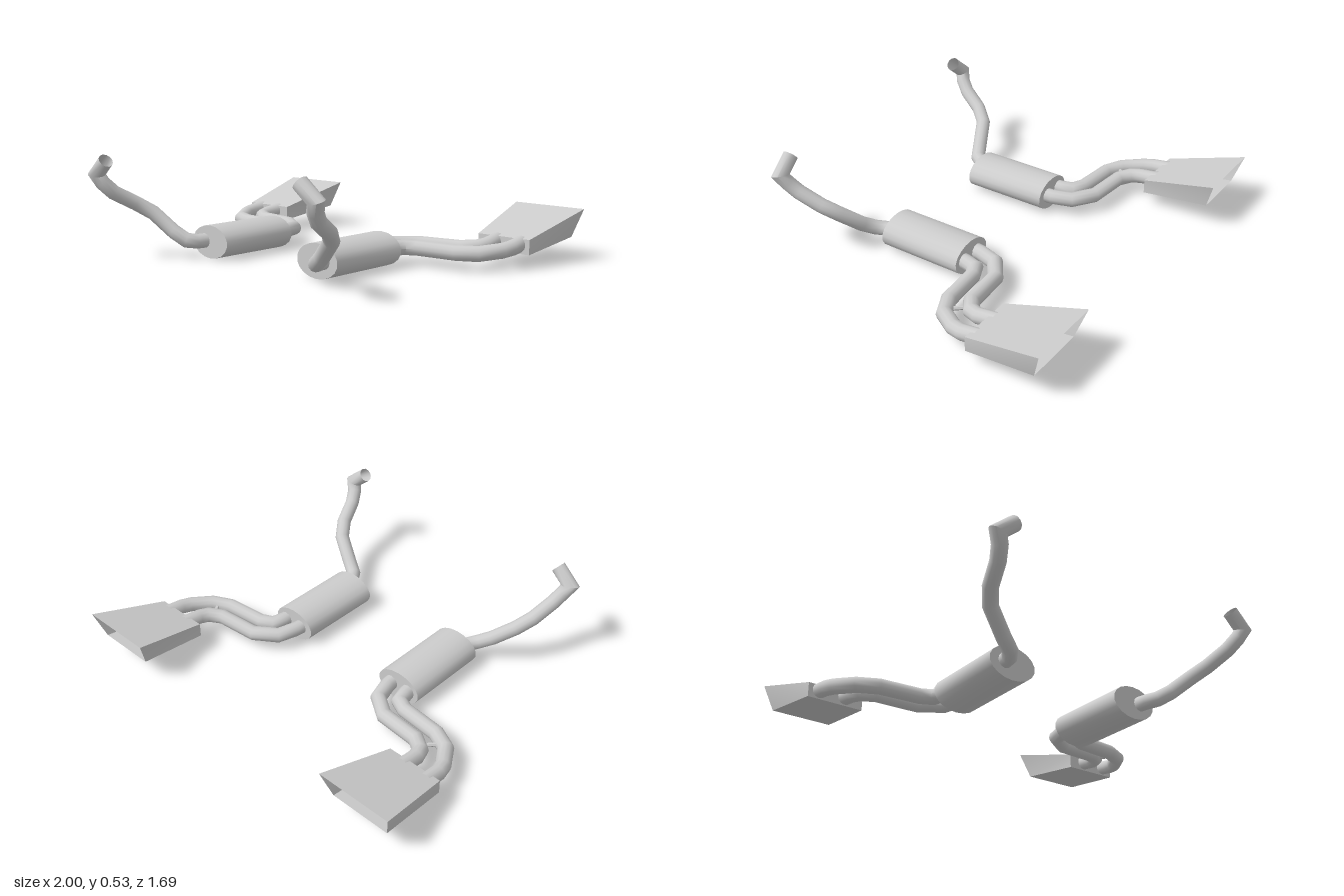
import * as THREE from 'three';
import { toCreasedNormals } from 'three/addons/utils/BufferGeometryUtils.js';

const metal = new THREE.MeshStandardMaterial({ color: 0xcccccc, side: THREE.DoubleSide });

// Skin a list of equal-length rings; optionally close the first ring.
function loft(rings, capStart, crease) {
  const n = rings[0].length, index = [];
  for (let i = 0; i < rings.length - 1; i++) {
    for (let j = 0; j < n; j++) {
      const a = i * n + j, b = i * n + (j + 1) % n;
      index.push(a, b, a + n, b, b + n, a + n);
    }
  }
  if (capStart) for (let j = 1; j < n - 1; j++) index.push(0, j + 1, j);
  const geometry = new THREE.BufferGeometry().setFromPoints(rings.flat());
  geometry.setIndex(index);
  return toCreasedNormals(geometry, crease);
}

// Mitred pipe: each ring slides along its segment onto the bisecting plane of the bend.
function pipe(name, coords, radius, sides = 12) {
  const pts = coords.map(c => new THREE.Vector3(...c));
  const dirs = pts.slice(1).map((p, i) => p.clone().sub(pts[i]).normalize());
  const u = new THREE.Vector3(0, 1, 0).cross(dirs[0]).normalize();
  const v = dirs[0].clone().cross(u);
  let ring = Array.from({ length: sides }, (_, j) => {
    const a = j / sides * Math.PI * 2;
    return pts[0].clone().addScaledVector(u, Math.cos(a) * radius).addScaledVector(v, Math.sin(a) * radius);
  });
  const rings = [ring];
  for (let i = 1; i < pts.length; i++) {
    const d = dirs[i - 1];
    const normal = d.clone().add(dirs[i] ?? d).normalize();
    ring = ring.map(p => p.clone().addScaledVector(d, pts[i].clone().sub(p).dot(normal) / d.dot(normal)));
    rings.push(ring);
  }
  return part(name, loft(rings, false, 0.9));
}

function part(name, geometry) {
  const mesh = new THREE.Mesh(geometry, metal);
  mesh.name = name;
  return mesh;
}

function createSide(name) {
  const side = new THREE.Group();
  side.name = name;

  // Oval silencer drum
  const drum = new THREE.CylinderGeometry(1, 1, 0.45, 18);
  drum.rotateX(Math.PI / 2).scale(0.125, 0.083, 1).translate(0.363, 0.085, 0.175);
  side.add(part('muffler', toCreasedNormals(drum, 0.9)));

  // Front pipe climbing to the open inlet
  side.add(pipe('inletPipe', [
    [0.4, 0.088, 0.38], [0.41, 0.088, 0.44], [0.44, 0.095, 0.485], [0.5, 0.135, 0.515],
    [0.6, 0.225, 0.562], [0.65, 0.275, 0.63], [0.687, 0.335, 0.735], [0.712, 0.385, 0.782],
    [0.735, 0.428, 0.8], [0.65, 0.5, 0.805],
  ], 0.037));

  // Twin rear pipes
  side.add(pipe('outerTailpipe', [
    [0.42, 0.088, -0.03], [0.425, 0.088, -0.07], [0.442, 0.088, -0.13], [0.5, 0.088, -0.158],
    [0.71, 0.088, -0.178], [0.805, 0.088, -0.225], [0.87, 0.098, -0.325],
    [0.885, 0.105, -0.38], [0.885, 0.118, -0.47],
  ], 0.038));
  side.add(pipe('innerTailpipe', [
    [0.315, 0.088, -0.03], [0.32, 0.088, -0.08], [0.35, 0.088, -0.18], [0.455, 0.09, -0.255],
    [0.67, 0.094, -0.276], [0.732, 0.099, -0.32], [0.75, 0.104, -0.37], [0.75, 0.118, -0.47],
  ], 0.038));

  // Small stay joining the two pipes
  side.add(pipe('pipeStay', [[0.72, 0.092, -0.28], [0.775, 0.092, -0.22]], 0.01, 6));

  // Flared tip: closed at the pipes, raked open mouth at the rear
  const section = (x0, x1, yBottom, zBottom, X0, X1, yTop, zTop) => [
    new THREE.Vector3(x0, yBottom, zBottom), new THREE.Vector3(X0, yTop, zTop),
    new THREE.Vector3(X1, yTop, zTop), new THREE.Vector3(x1, yBottom, zBottom),
  ];
  side.add(part('flaredTip', loft([
    section(0.657, 0.945, 0.07, -0.44, 0.657, 0.945, 0.143, -0.44),
    section(0.65, 0.96, 0.115, -0.8, 0.61, 1.0, 0.253, -0.845),
  ], true, 0.5)));
  return side;
}

export function createModel() {
  const model = new THREE.Group();
  model.name = 'exhaustSystem';
  const right = createSide('rightExhaust');
  right.scale.x = -1;
  model.add(createSide('leftExhaust'), right);
  return model;
}
